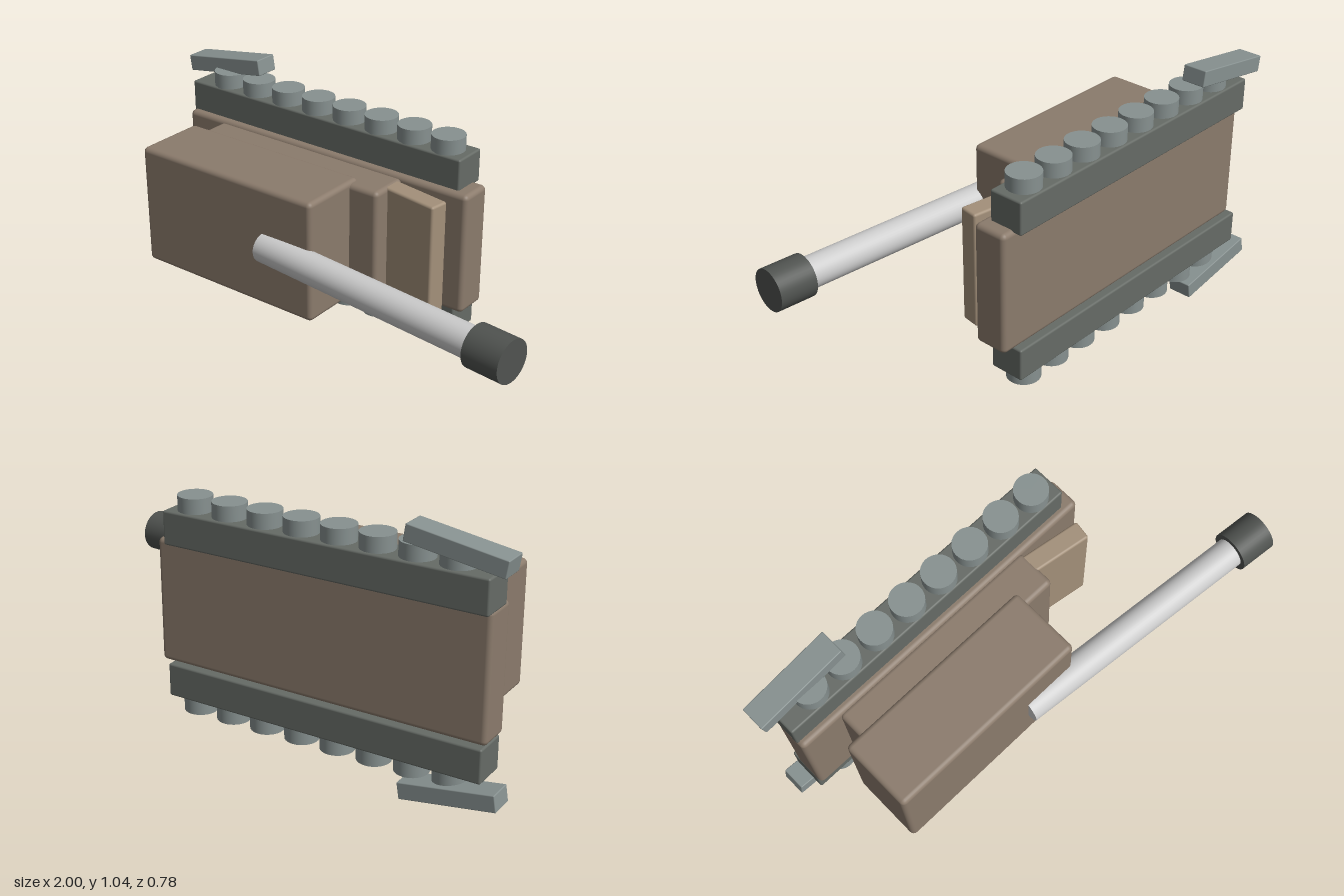
import * as THREE from 'three';
import { RoundedBoxGeometry } from 'three/addons/geometries/RoundedBoxGeometry.js';

const mat = (color) => new THREE.MeshStandardMaterial({ color });
const MID = 0.52; // height of the mirror plane between the two tracks

export function createModel() {
  const group = new THREE.Group();
  const brown = mat(0x8b7b6c), tan = mat(0xa3907a), trackGrey = mat(0x666b66);
  const wheelGrey = mat(0x879190), barrelGrey = mat(0xcccccc), dark = mat(0x505350);

  function add(name, geometry, material, x, y, z) {
    const mesh = new THREE.Mesh(geometry, material);
    mesh.name = name;
    mesh.position.set(x, y, z);
    group.add(mesh);
    return mesh;
  }
  // Rounded box given by its limits on each axis
  function block(name, material, [x0, x1], [y0, y1], [z0, z1], radius) {
    const geometry = new RoundedBoxGeometry(x1 - x0, y1 - y0, z1 - z0, 3, radius);
    return add(name, geometry, material, (x0 + x1) / 2, (y0 + y1) / 2, (z0 + z1) / 2);
  }

  // Stacked body
  block('hull', brown, [-0.93, 0.465], [0.27, 0.775], [-0.348, -0.205], 0.02);
  block('upperHull', brown, [-0.75, 0.17], [0.277, 0.765], [-0.215, -0.043], 0.02);
  block('turret', brown, [-0.815, 0.042], [0.268, 0.775], [-0.105, 0.2], 0.02);

  // Sloping front plate
  const plate = add('frontPlate', new RoundedBoxGeometry(0.36, 0.483, 0.08, 3, 0.01), tan, 0.227, MID, -0.145);
  plate.rotation.y = -0.155;

  // Tracks, wheels and fenders, mirrored about the middle
  for (const side of [1, -1]) {
    const prefix = side > 0 ? 'upper' : 'lower';
    add(prefix + 'Track', new RoundedBoxGeometry(1.34, 0.135, 0.145, 3, 0.008), trackGrey,
      -0.26, MID + side * 0.3115, -0.307);
    for (let i = 0; i < 8; i++) {
      add(prefix + 'Wheel' + (i + 1), new THREE.CylinderGeometry(0.067, 0.067, 0.1, 32), wheelGrey,
        -0.78 + i * 0.156, MID + side * 0.389, -0.304);
    }
    const fender = add(prefix + 'Fender', new RoundedBoxGeometry(0.385, 0.066, 0.102, 2, 0.004), wheelGrey,
      -0.806, MID + side * 0.457, -0.343);
    fender.rotation.z = side * 0.157;
  }

  // Gun, tilted slightly outward
  const gun = new THREE.Group();
  gun.name = 'gun';
  gun.position.set(-0.194, MID, 0.188);
  gun.rotation.y = -0.1;
  const parts = [['barrel', 0.062, 0, 1.08, barrelGrey], ['muzzle', 0.084, 1.035, 1.188, dark]];
  for (const [name, radius, start, end, material] of parts) {
    const geometry = new THREE.CylinderGeometry(radius, radius, end - start, 40).rotateZ(-Math.PI / 2);
    const mesh = new THREE.Mesh(geometry, material);
    mesh.name = name;
    mesh.position.x = (start + end) / 2;
    gun.add(mesh);
  }
  group.add(gun);

  return group;
}
